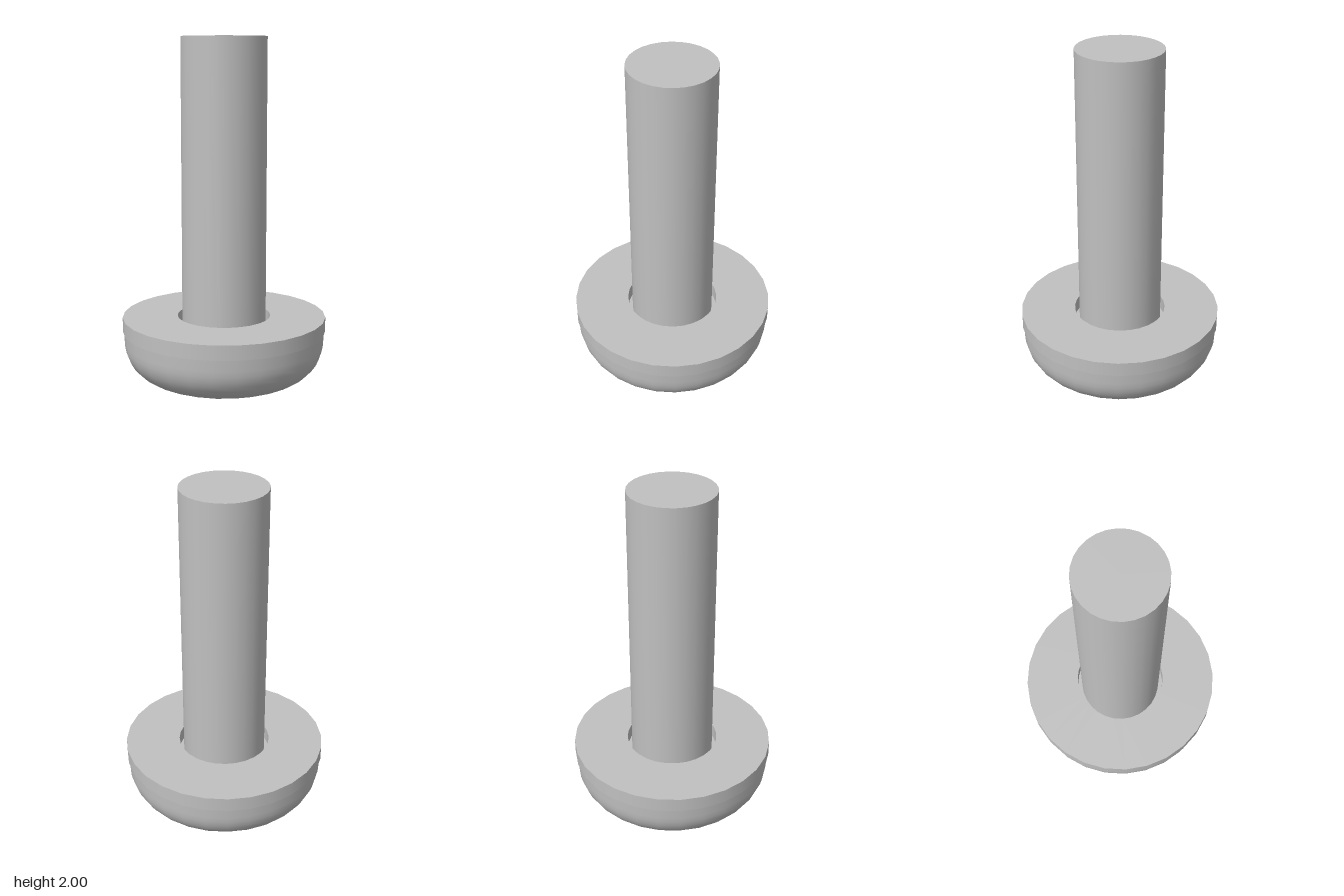
import * as THREE from 'three';
import { mergeGeometries } from 'three/addons/utils/BufferGeometryUtils.js';

const SIDES = 28;
const HEAD_TOP = 0.285, WASHER_TOP = 0.37;
const FLAT_R = 0.37, SOCKET_R = 0.2, SOCKET_DEPTH = 0.22;

// Revolve each run of [radius, y] points separately, so edges between runs stay sharp
function revolve(...runs) {
  return mergeGeometries(runs.map(run =>
    new THREE.LatheGeometry(run.map(([r, y]) => new THREE.Vector2(r, y)), SIDES)));
}

// Points of a regular polygon with its first corner on +x
function polygon(radius, sides) {
  return Array.from({ length: sides }, (_, i) => {
    const a = i / sides * Math.PI * 2;
    return new THREE.Vector2(Math.cos(a) * radius, Math.sin(a) * radius);
  });
}

export function createModel() {
  const model = new THREE.Group();
  const steel = new THREE.MeshStandardMaterial({ color: 0xc0c0c0 });
  steel.name = 'steel grey';

  const add = (name, geometry, parent = model) => {
    const mesh = new THREE.Mesh(geometry, steel);
    mesh.name = name;
    parent.add(mesh);
  };

  // Plain shank
  add('shank', revolve(
    [[0.248, HEAD_TOP], [0.248, 2]],
    [[0.248, 2], [0, 2]]));

  // Loose washer with a slightly wider bore than the shank
  const outer = 0.6, bore = 0.275;
  add('washer', revolve(
    [[outer, HEAD_TOP], [outer, WASHER_TOP]],
    [[outer, WASHER_TOP], [bore, WASHER_TOP]],
    [[bore, WASHER_TOP], [bore, HEAD_TOP]],
    [[bore, HEAD_TOP], [outer, HEAD_TOP]]));

  // Button head: rounded side, flat seat under the washer
  const head = new THREE.Group();
  head.name = 'head';
  model.add(head);
  const side = [];
  for (let i = 0; i <= 10; i++) {
    const a = i / 10 * Math.PI / 2;
    side.push([FLAT_R + 0.22 * Math.sin(a), 0.22 * (1 - Math.cos(a))]);
  }
  side.push([0.593, HEAD_TOP]);
  add('headSide', revolve(side, [[0.593, HEAD_TOP], [0.24, HEAD_TOP]]), head);

  // Flat end of the head with a hexagonal opening
  const face = new THREE.Shape(polygon(FLAT_R, SIDES));
  face.holes.push(new THREE.Path(polygon(SOCKET_R, 6)));
  add('headFace', new THREE.ShapeGeometry(face).rotateX(Math.PI / 2), head);

  // Hex socket: floor and inward-facing flat walls
  const socket = new THREE.LatheGeometry([
    new THREE.Vector2(0, SOCKET_DEPTH),
    new THREE.Vector2(SOCKET_R, SOCKET_DEPTH),
    new THREE.Vector2(SOCKET_R, 0),
  ], 6, Math.PI / 6).toNonIndexed();
  socket.computeVertexNormals();
  add('hexSocket', socket, head);

  return model;
}
